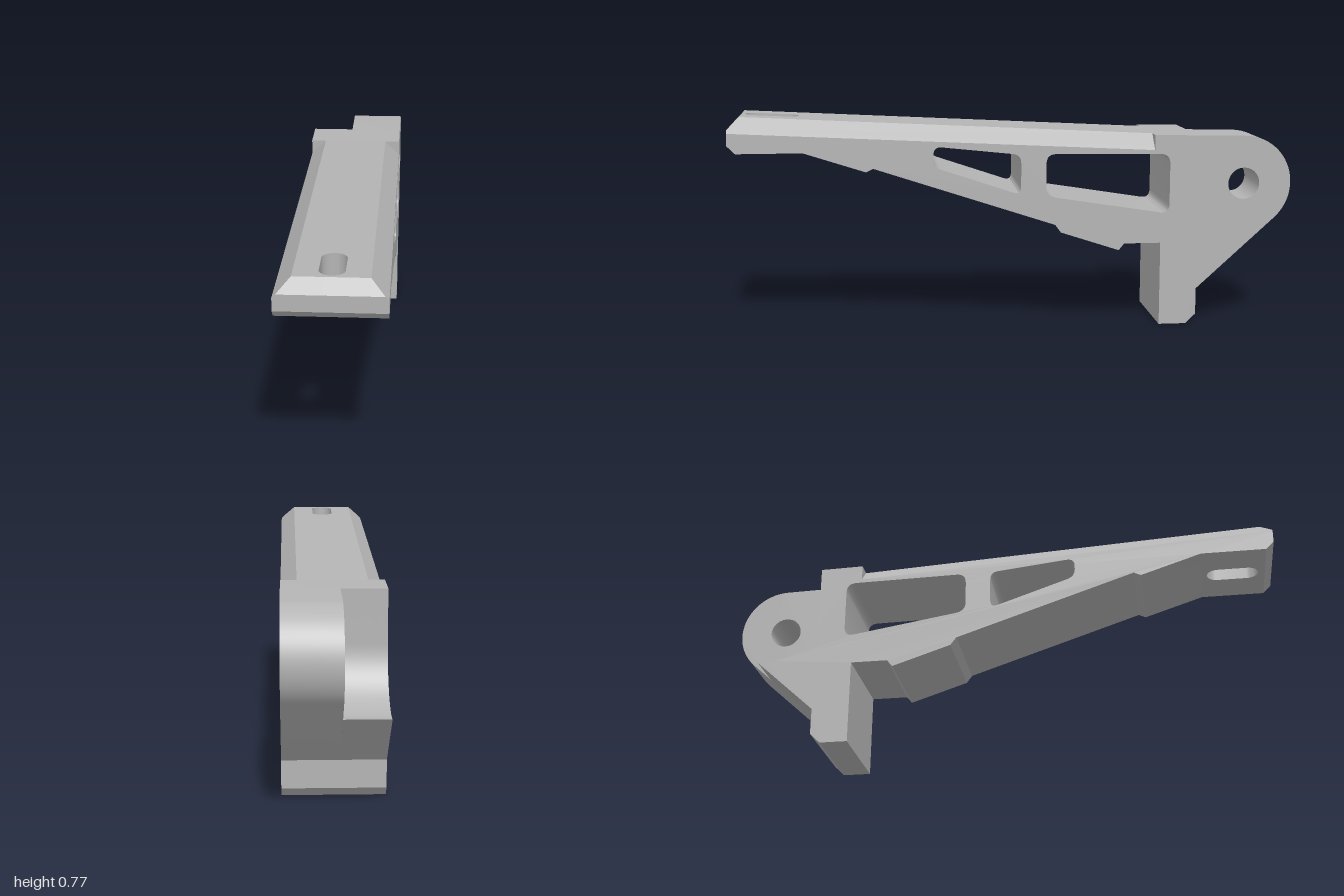
import * as THREE from 'three';
import { toCreasedNormals } from 'three/addons/utils/BufferGeometryUtils.js';

const HALF = 0.171, FLAT = 0.117, LUG = -0.02; // half width, flat top half width, lug inner face
const V2 = (z, y) => new THREE.Vector2(-z, y); // side plane: u = -z, v = y
const topY = z => 0.768 + 0.0514 * (z - 0.96);

const arc = (z, y, r, a0, a1, n = 24) => Array.from({ length: n + 1 }, (_, i) => {
  const a = THREE.MathUtils.degToRad(a0 + (a1 - a0) * i / n);
  return new THREE.Vector2(-z + r * Math.cos(a), y + r * Math.sin(a));
});

// polygon with rounded corners
function rounded(corners, r) {
  const n = corners.length;
  return corners.flatMap((c, i) => {
    const toward = o => c.clone().add(o.clone().sub(c).setLength(r));
    return new THREE.QuadraticBezierCurve(
      toward(corners[(i + n - 1) % n]), c, toward(corners[(i + 1) % n])).getPoints(6);
  });
}

// side-plane points placed at a given x
const place = (pts, x) => pts.map(p => new THREE.Vector3(x, p.y, -p.x));

// skin between consecutive closed rings; skip(i, k) leaves panels open
function loft(rings, skip = () => false) {
  const pos = [], tri = new THREE.Triangle();
  const add = (a, b, c) => {
    if (tri.set(a, b, c).getArea() > 1e-8) for (const p of [a, b, c]) pos.push(p.x, p.y, p.z);
  };
  for (let k = 0; k < rings.length - 1; k++) {
    const a = rings[k], b = rings[k + 1], n = a.length;
    for (let i = 0; i < n; i++) {
      if (skip(i, k)) continue;
      const j = (i + 1) % n;
      add(a[i], a[j], b[j]);
      add(a[i], b[j], b[i]);
    }
  }
  const g = new THREE.BufferGeometry();
  g.setAttribute('position', new THREE.Float32BufferAttribute(pos, 3));
  return toCreasedNormals(g, 0.45);
}

function flatShape(pts, holes) {
  const s = new THREE.Shape(pts);
  s.holes = holes.map(h => new THREE.Path(h));
  return new THREE.ShapeGeometry(s);
}

// flat face at x, facing +x or -x
function cap(pts, holes, x, dir) {
  const g = flatShape(pts, holes);
  if (dir < 0) g.setIndex(Array.from(g.index.array).reverse());
  g.rotateY(Math.PI / 2).translate(x, 0, 0);
  g.computeVertexNormals();
  return g;
}

// horizontal panel with a hole, bent to a height rule
function panel(z0, z1, hole, height, dir) {
  const c = [[-FLAT, -z1], [FLAT, -z1], [FLAT, -z0], [-FLAT, -z0]].map(p => new THREE.Vector2(...p));
  const g = flatShape(c, [hole]), p = g.attributes.position;
  for (let i = 0; i < p.count; i++) {
    const z = -p.getY(i);
    p.setXYZ(i, p.getX(i), height(z), z);
  }
  if (dir < 0) g.setIndex(Array.from(g.index.array).reverse());
  g.computeVertexNormals();
  return g;
}

export function createModel() {
  const group = new THREE.Group();
  const metal = new THREE.MeshStandardMaterial({ color: 0xb4b4b4 });
  metal.name = 'plain grey';
  const add = (name, geometry) => {
    const m = new THREE.Mesh(geometry, metal);
    m.name = name;
    group.add(m);
  };

  // side outline: underside from tip to foot
  const under = [[1, 0.673], [0.972, 0.645], [0.742, 0.645], [0.525, 0.575], [0.5, 0.587],
    [-0.142, 0.375], [-0.163, 0.347], [-0.373, 0.278], [-0.393, 0.302], [-0.525, 0.302],
    [-0.525, 0], [-0.624, 0], [-0.66, 0.035], [-0.66, 0.13]].map(p => V2(...p));
  const lugArc = arc(-0.827, 0.514, 0.172, -48, 88);
  const pocketArc = [...arc(-0.847, 0.514, 0.192, -82, -180), V2(-0.655, 0.69)];

  // the bevelled top edge drops and mitres toward the sides
  const outline = (back, x) => {
    const d = Math.max(0, Math.abs(x) - FLAT);
    const zb = Math.min(1, 0.96 + d / 1.0764);
    return [...under, ...back, V2(-0.5, topY(-0.5)), V2(-0.5, topY(-0.5) - d),
      V2(zb, topY(zb) - d), V2(1, Math.min(0.727, topY(1) - d))];
  };
  const skin = (back, xs) => {
    const n = outline(back, 0).length;
    return loft(xs.map(x => place(outline(back, x), x)), (i, k) =>
      (i === 1 || i === n - 3) && Math.max(Math.abs(xs[k]), Math.abs(xs[k + 1])) <= FLAT + 1e-6);
  };
  add('lugSideSkin', skin(lugArc, [LUG, FLAT, 0.16, HALF]));
  add('pocketSideSkin', skin(pocketArc, [-HALF, -0.16, -FLAT, LUG]));

  // windows through the arm and the pivot bore
  const frontWindow = rounded([V2(0.289, 0.589), V2(-0.02, 0.485), V2(-0.02, 0.629), V2(0.289, 0.662)], 0.03);
  const rearWindow = rounded([V2(-0.11, 0.479), V2(-0.556, 0.408), V2(-0.556, 0.624), V2(-0.11, 0.63)], 0.035);
  const bore = arc(-0.827, 0.514, 0.057, 0, 350, 35);
  const tunnel = (pts, x0) => {
    const r = [...pts].reverse();
    return loft([place(r, x0), place(r, HALF)]);
  };
  add('frontWindowWall', tunnel(frontWindow, -HALF));
  add('rearWindowWall', tunnel(rearWindow, -HALF));
  add('pivotBore', tunnel(bore, LUG));

  // flat sides and the inner face of the lug
  add('leftFace', cap(outline(lugArc, HALF), [frontWindow, rearWindow, bore], HALF, 1));
  add('rightFace', cap(outline(pocketArc, HALF), [frontWindow, rearWindow], -HALF, -1));
  add('lugInnerFace', cap([pocketArc[0], ...lugArc, ...[...pocketArc].reverse().slice(0, -1)], [bore], LUG, -1));

  // top and bottom panels at the tip, pierced by the slot
  const slot = [...arc(0.907, 0, 0.04, 90, 270, 16), ...arc(0.801, 0, 0.04, -90, 90, 16)]
    .map(p => new THREE.Vector2(-p.y, p.x));
  add('topPanel', panel(-0.5, 0.96, slot, topY, 1));
  add('tipUnderside', panel(0.742, 0.972, slot, () => 0.645, -1));
  const slotRing = height => [...slot].reverse().map(p => new THREE.Vector3(p.x, height(-p.y), -p.y));
  add('slotWall', loft([slotRing(() => 0.645), slotRing(topY)]));

  return group;
}
